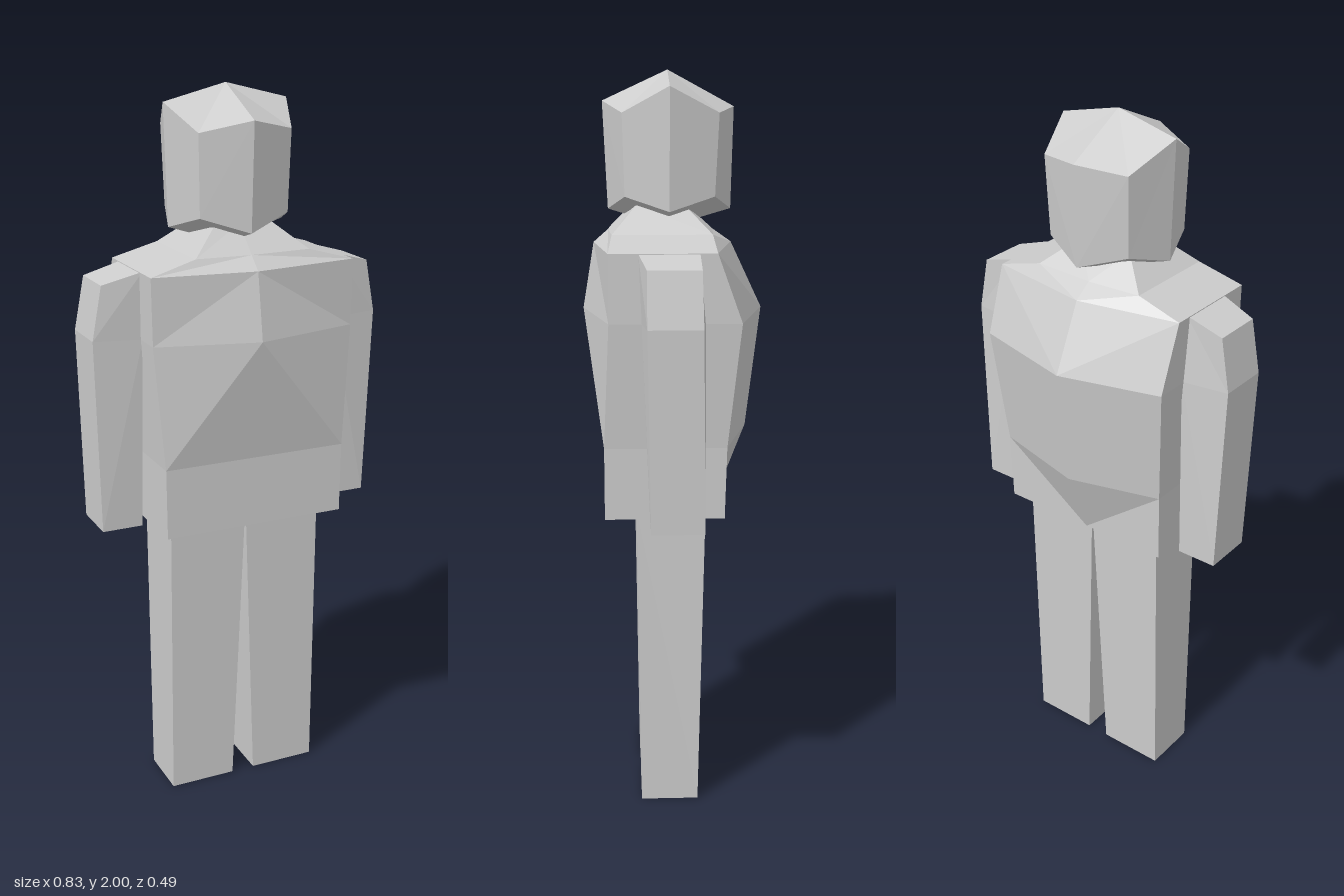
import * as THREE from 'three';

// Skin a stack of closed rings (bottom to top); rings run front -> +x -> back -> -x.
// Both ends close with a fan around an apex (the ring's centroid by default).
function loft(rings, bottomApex, topApex) {
  const pos = [];
  const tri = (a, b, c) => pos.push(...a, ...b, ...c);
  const n = rings[0].length;
  const centroid = (ring) => [0, 1, 2].map((k) => ring.reduce((s, p) => s + p[k], 0) / n);
  for (let i = 0; i < rings.length - 1; i++) {
    for (let j = 0; j < n; j++) {
      const k = (j + 1) % n;
      const a = rings[i][j], b = rings[i][k], c = rings[i + 1][k], d = rings[i + 1][j];
      // mirrored diagonals keep the creases symmetrical
      if (j < n / 2) { tri(a, b, d); tri(b, c, d); }
      else { tri(a, b, c); tri(a, c, d); }
    }
  }
  const low = rings[0], high = rings[rings.length - 1];
  const lowTip = bottomApex || centroid(low), highTip = topApex || centroid(high);
  for (let j = 0; j < n; j++) {
    const k = (j + 1) % n;
    tri(low[k], low[j], lowTip);
    tri(high[j], high[k], highTip);
  }
  const geo = new THREE.BufferGeometry();
  geo.setAttribute('position', new THREE.Float32BufferAttribute(pos, 3));
  geo.computeVertexNormals();
  return geo;
}

export function createModel() {
  const group = new THREE.Group();
  group.name = 'figure';
  const grey = new THREE.MeshStandardMaterial({ color: 0xcccccc, flatShading: true });
  grey.name = 'light grey';
  const add = (name, geo) => {
    const mesh = new THREE.Mesh(geo, grey);
    mesh.name = name;
    group.add(mesh);
  };

  // Torso and neck: y, half width, front corner z, front centre z, back corner z, back centre z
  const cx = -0.01;
  const torso = [
    [0.835, 0.26, 0.19, 0.19, -0.13, -0.13],
    [1.03, 0.262, 0.19, 0.19, -0.135, -0.205],
    [1.365, 0.287, 0.175, 0.245, -0.17, -0.245],
    [1.545, 0.29, 0.175, 0.215, -0.105, -0.16],
    [1.58, 0.162, 0.165, 0.175, -0.1, -0.11],
    [1.65, 0.08, 0.1, 0.1, -0.03, -0.03],
  ].map(([y, w, f, fc, b, bc]) => [
    [cx, y, fc], [w, y, f], [w, y, b], [cx, y, bc], [-w, y, b], [-w, y, f],
  ]);
  add('torso', loft(torso));

  // Head: faceted eight-sided block with a peaked crown and a pointed underside
  const headRing = (side, sideY, diagX, diagY, front, frontY, diagF, diagB, back, backY) => [
    [cx, frontY, front], [cx + diagX, diagY, diagF], [cx + side, sideY, 0.013], [cx + diagX, diagY, diagB],
    [cx, backY, back], [cx - diagX, diagY, diagB], [cx - side, sideY, 0.013], [cx - diagX, diagY, diagF],
  ];
  add('head', loft([
    headRing(0.165, 1.638, 0.125, 1.675, 0.175, 1.635, 0.13, -0.108, -0.158, 1.635),
    headRing(0.175, 1.957, 0.13, 1.89, 0.188, 1.92, 0.136, -0.118, -0.165, 1.905),
  ], [cx, 1.585, 0.013], [cx, 2, 0.013]));

  for (const [side, s] of [['left', 1], ['right', -1]]) {
    // Corner order flips with the side so faces keep pointing outward
    const ring = (pts) => {
      const r = pts.map(([x, y, z]) => [s * x, y, z]);
      return s > 0 ? r : r.reverse();
    };

    // Arm: inner x, inner y, outer x, outer y, inner front/back z, outer front/back z
    const arm = [
      [0.287, 0.835, 0.4, 0.835, 0.07, -0.07, 0.07, -0.07],
      [0.282, 1.365, 0.415, 1.37, 0.09, -0.075, 0.078, -0.063],
      [0.282, 1.545, 0.388, 1.515, 0.098, -0.06, 0.078, -0.06],
    ].map(([ix, iy, ox, oy, fi, bi, fo, bo]) => ring([
      [ix, iy, fi], [ox, oy, fo], [ox, oy, bo], [ix, iy, bi],
    ]));
    add(side + 'Arm', loft(arm));

    // Leg: y, inner x, front z, back z
    const leg = [
      [0, 0.034, 0.095, -0.062],
      [0.845, 0.001, 0.105, -0.08],
    ].map(([y, ix, f, b]) => ring([
      [ix, y, f], [0.225, y, f], [0.225, y, b], [ix, y, b],
    ]));
    const legGeo = loft(leg);
    legGeo.translate(0.009, 0, 0);
    add(side + 'Leg', legGeo);
  }
  return group;
}
